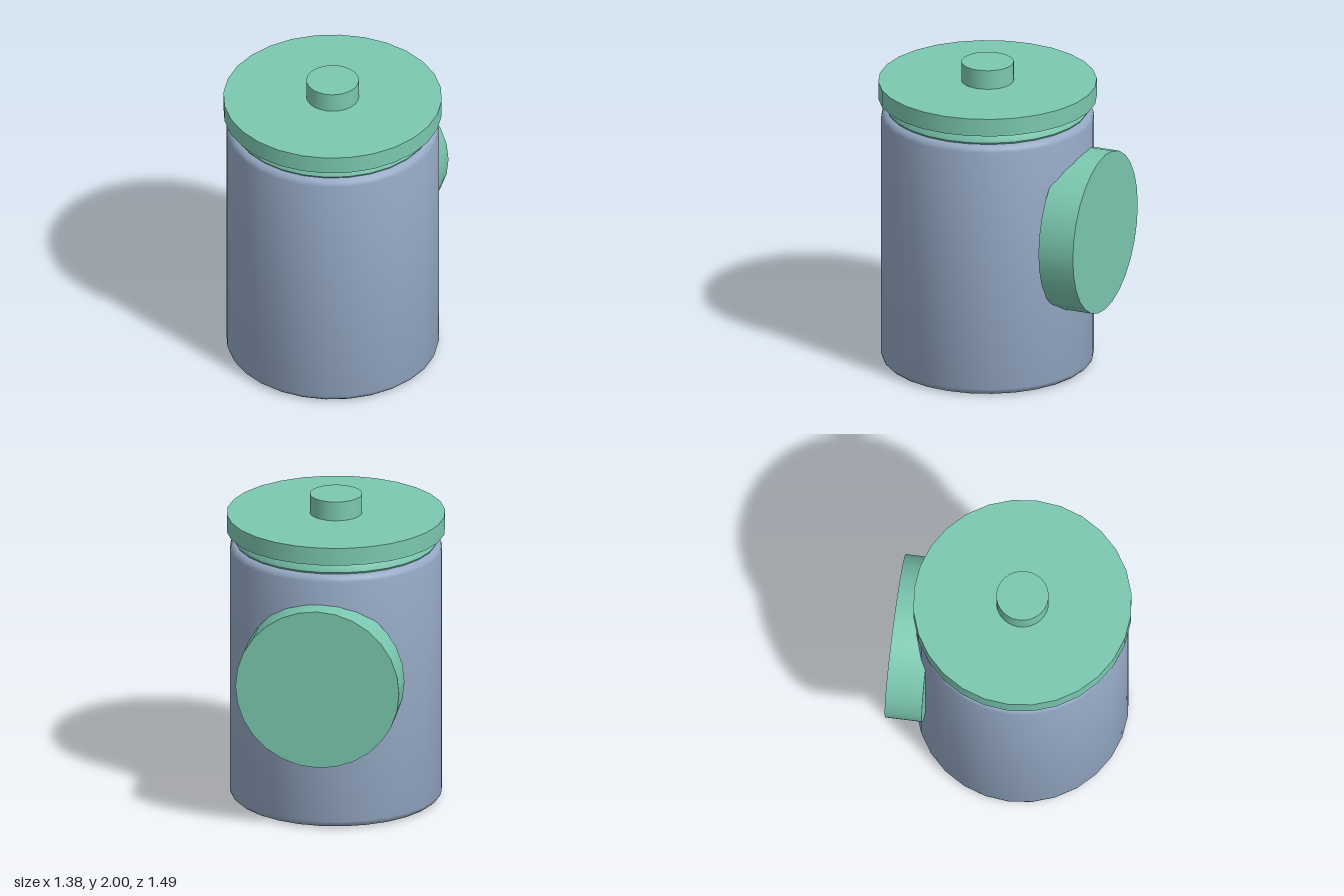
import * as THREE from 'three';
import { toCreasedNormals } from 'three/addons/utils/BufferGeometryUtils.js';

export function createModel() {
  const model = new THREE.Group();
  const green = new THREE.MeshStandardMaterial({ color: 0x7bc8b0 });
  green.name = 'mint green';
  const blue = new THREE.MeshStandardMaterial({ color: 0x94a8c4 });
  blue.name = 'slate blue';
  const SIDES = 28;
  const AXIS_Z = 0.055;

  const add = (name, geometry, material, y, z = AXIS_Z) => {
    const mesh = new THREE.Mesh(geometry, material);
    mesh.name = name;
    mesh.position.set(0, y, z);
    model.add(mesh);
    return mesh;
  };
  const turned = (points, crease) => toCreasedNormals(
    new THREE.LatheGeometry(points.map(([r, y]) => new THREE.Vector2(r, y)), SIDES), crease);

  // Canister with softly rounded rims
  add('body', turned([
    [0, 0], [0.625, 0], [0.645, 0.007], [0.663, 0.022], [0.67, 0.045],
    [0.67, 1.64], [0.663, 1.663], [0.645, 1.678], [0.625, 1.685], [0, 1.685],
  ], 0.7), blue, 0);

  // Tapered seal under the lid
  add('neckSeal', turned([
    [0, 1.67], [0.622, 1.67], [0.637, 1.695], [0.63, 1.72], [0.612, 1.752], [0.6, 1.77], [0, 1.77],
  ], 0.7), green, 0);

  // Lid and knob
  add('lid', new THREE.CylinderGeometry(0.688, 0.688, 0.115, SIDES), green, 1.8175);
  add('knob', new THREE.CylinderGeometry(0.165, 0.165, 0.14, SIDES), green, 1.93);

  // Round disc set into the back
  const disc = add('backDisc', new THREE.CylinderGeometry(0.52, 0.52, 0.235, SIDES), green, 0.97, -0.6325);
  disc.rotation.x = Math.PI / 2;

  return model;
}
